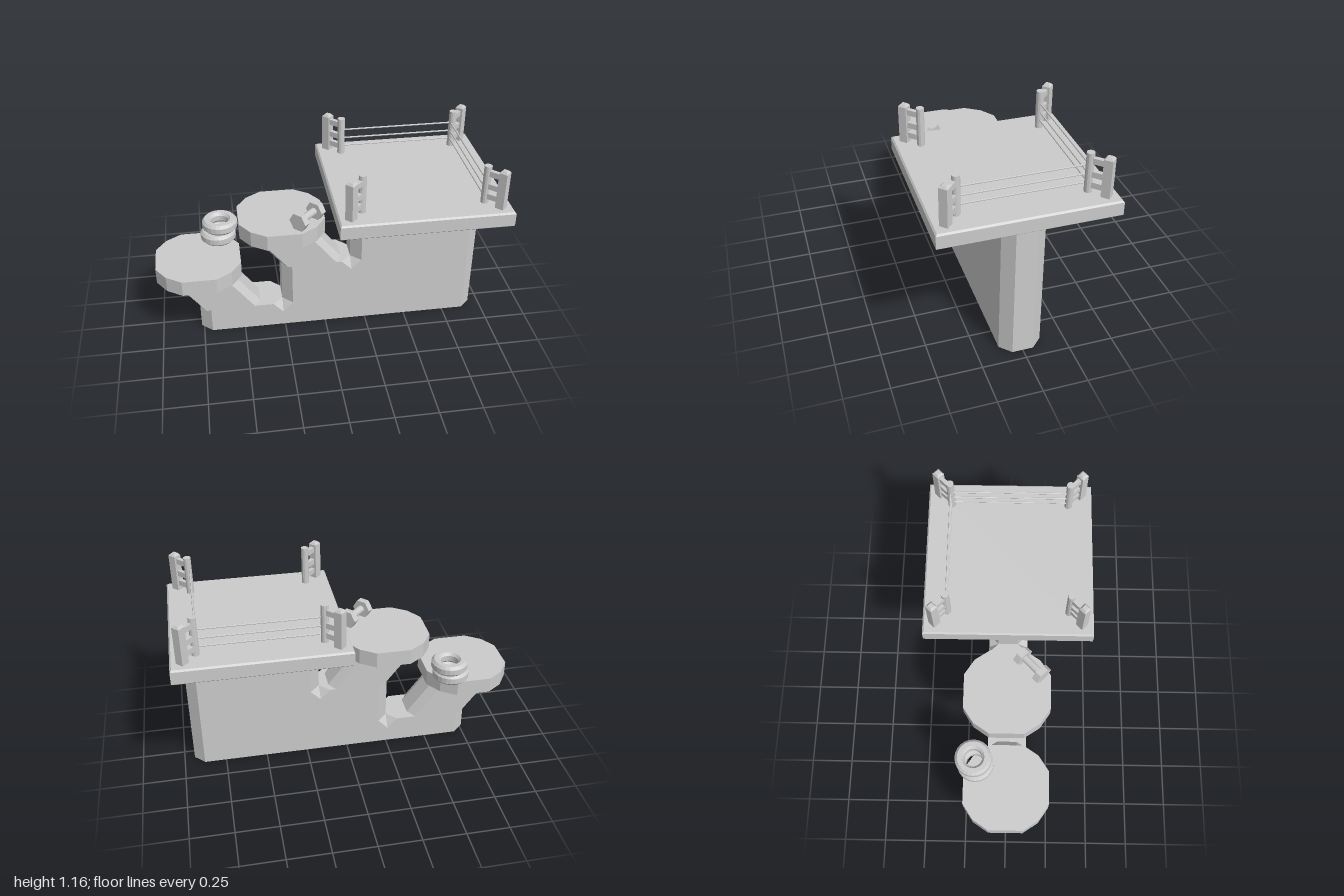
import * as THREE from 'three';

const flat = new THREE.MeshStandardMaterial({ color: 0xcccccc, flatShading: true });
const smooth = new THREE.MeshStandardMaterial({ color: 0xcccccc });

// Skin between matching counter-clockwise outlines stacked along z, capped at both ends
function loft(layers) {
  const v = [];
  const put = (l, i) => v.push(l.pts[i][0], l.pts[i][1], l.z);
  const n = layers[0].pts.length;
  for (let k = 0; k < layers.length - 1; k++) {
    const lo = layers[k], hi = layers[k + 1];
    for (let i = 0; i < n; i++) {
      const j = (i + 1) % n;
      put(lo, i); put(lo, j); put(hi, j);
      put(lo, i); put(hi, j); put(hi, i);
    }
  }
  const cap = (l, flip) => {
    const contour = l.pts.map(p => new THREE.Vector2(p[0], p[1]));
    for (const [a, b, c] of THREE.ShapeUtils.triangulateShape(contour, []))
      (flip ? [a, c, b] : [a, b, c]).forEach(i => put(l, i));
  };
  cap(layers[0], true);
  cap(layers[layers.length - 1], false);
  const g = new THREE.BufferGeometry();
  g.setAttribute('position', new THREE.Float32BufferAttribute(v, 3));
  g.computeVertexNormals();
  return g;
}

// Same, stacked upwards
const loftUp = layers => loft(layers).rotateX(-Math.PI / 2);

// Rectangle with cut corners, centred on cx
const cutRect = (cx, hx, hy, dx, dy) => [
  [cx - hx + dx, -hy], [cx + hx - dx, -hy], [cx + hx, -hy + dy], [cx + hx, hy - dy],
  [cx + hx - dx, hy], [cx - hx + dx, hy], [cx - hx, hy - dy], [cx - hx, -hy + dy]];

const square = h => [[-h, -h], [h, -h], [h, h], [-h, h]];

function add(parent, name, geometry, x = 0, y = 0, z = 0, material = flat) {
  const m = new THREE.Mesh(geometry, material);
  m.name = name;
  m.position.set(x, y, z);
  parent.add(m);
  return m;
}

function group(parent, name, x, y, z) {
  const g = new THREE.Group();
  g.name = name;
  g.position.set(x, y, z);
  parent.add(g);
  return g;
}

export function createModel() {
  const model = new THREE.Group();
  model.name = 'steppedRingStand';

  // Stepped wall: full outline in the middle, chamfered ends and notched inner corners outside
  const inner = [[-0.765, 0], [0.94, 0], [0.94, 0.84], [0.16, 0.84], [0.16, 0.435], [0.16, 0.435],
    [0.16, 0.435], [-0.26, 0.435], [-0.26, 0.16], [-0.26, 0.16], [-0.26, 0.16], [-0.765, 0.16]];
  const outer = [[-0.7, 0], [0.88, 0], [0.88, 0.84], [0.22, 0.84], [0.22, 0.435], [0.16, 0.375],
    [0.1, 0.435], [-0.2, 0.435], [-0.2, 0.16], [-0.26, 0.095], [-0.32, 0.16], [-0.7, 0.16]];
  add(model, 'steppedWall', loft([
    { z: -0.12, pts: outer }, { z: -0.06, pts: inner }, { z: 0.06, pts: inner }, { z: 0.12, pts: outer }]));

  // Two round shelves on leaning arms
  const disc = [[-0.1, -0.25], [0.1, -0.25], [0.19, -0.19], [0.25, -0.1], [0.25, 0.1], [0.19, 0.19],
    [0.1, 0.25], [-0.1, 0.25], [-0.19, 0.19], [-0.25, 0.1], [-0.25, -0.1], [-0.19, -0.19]];
  [[-0.75, 0.385, 0.155], [-0.25, 0.65, 0.43]].forEach(([x, y, foot], i) => {
    const shelf = group(model, i ? 'upperShelf' : 'lowerShelf', x, 0, 0);
    add(shelf, 'shelfDisc', loftUp([{ z: y, pts: disc }, { z: y + 0.095, pts: disc }]));
    add(shelf, 'leaningArm', loftUp([
      { z: foot, pts: cutRect(0.172, 0.185, 0.12, 0.037, 0.06) },
      { z: y + 0.01, pts: cutRect(-0.01, 0.185, 0.12, 0.037, 0.06) }]));
  });

  // Ring platform with bevelled edges
  const ring = group(model, 'ring', 0.512, 0, 0);
  add(ring, 'platform', loftUp([
    { z: 0.835, pts: square(0.477) }, { z: 0.843, pts: square(0.486) },
    { z: 0.917, pts: square(0.486) }, { z: 0.926, pts: square(0.477) }]));

  // Corner posts, each an outer square post linked to an inner round one
  const postGeo = loftUp([{ z: 0, pts: square(0.024) }, { z: 0.219, pts: square(0.024) },
    { z: 0.232, pts: square(0.013) }]);
  const roundGeo = new THREE.CylinderGeometry(0.022, 0.022, 0.23, 12);
  const linkGeo = new THREE.BoxGeometry(0.1, 0.033, 0.025);
  for (let i = 0; i < 4; i++) {
    const corner = group(ring, 'cornerPost', 0, 0, 0);
    corner.rotation.y = Math.PI / 4 + i * Math.PI / 2;
    add(corner, 'outerPost', postGeo, 0.417 * Math.SQRT2, 0.924, 0);
    add(corner, 'innerPost', roundGeo, 0.346 * Math.SQRT2, 1.039, 0);
    for (const y of [0.972, 1.034, 1.112]) add(corner, 'link', linkGeo, 0.3815 * Math.SQRT2, y, 0);
  }

  // Ropes along the back and left sides
  const ropeGeo = new THREE.CylinderGeometry(0.005, 0.005, 0.68, 8);
  for (const y of [0.975, 1.025, 1.079]) {
    add(ring, 'backRope', ropeGeo, 0, y, -0.346).rotation.z = Math.PI / 2;
    add(ring, 'leftRope', ropeGeo, 0.336, y, 0).rotation.x = Math.PI / 2;
  }

  // Stacked weight rings on the lower shelf, bevelled inside and out
  const profile = [[0.052, 0.016], [0.066, 0], [0.092, 0], [0.107, 0.016], [0.107, 0.05],
    [0.092, 0.067], [0.066, 0.067], [0.052, 0.05], [0.052, 0.016]].map(p => new THREE.Vector2(...p));
  const weightGeo = new THREE.LatheGeometry(profile, 24);
  add(model, 'lowerWeight', weightGeo, -0.62, 0.48, -0.18);
  add(model, 'upperWeight', weightGeo, -0.606, 0.55, -0.19);

  // Dumbbell lying on the upper shelf
  const bell = group(model, 'dumbbell', -0.105, 0.795, 0.14);
  bell.rotation.y = Math.PI / 4;
  const headGeo = new THREE.CylinderGeometry(0.057, 0.057, 0.04, 6).rotateZ(Math.PI / 2);
  add(bell, 'handle', new THREE.CylinderGeometry(0.023, 0.023, 0.15, 12).rotateZ(Math.PI / 2), 0, 0, 0, smooth);
  for (const s of [-1, 1]) add(bell, 'head', headGeo, s * 0.077, 0, 0);

  return model;
}
